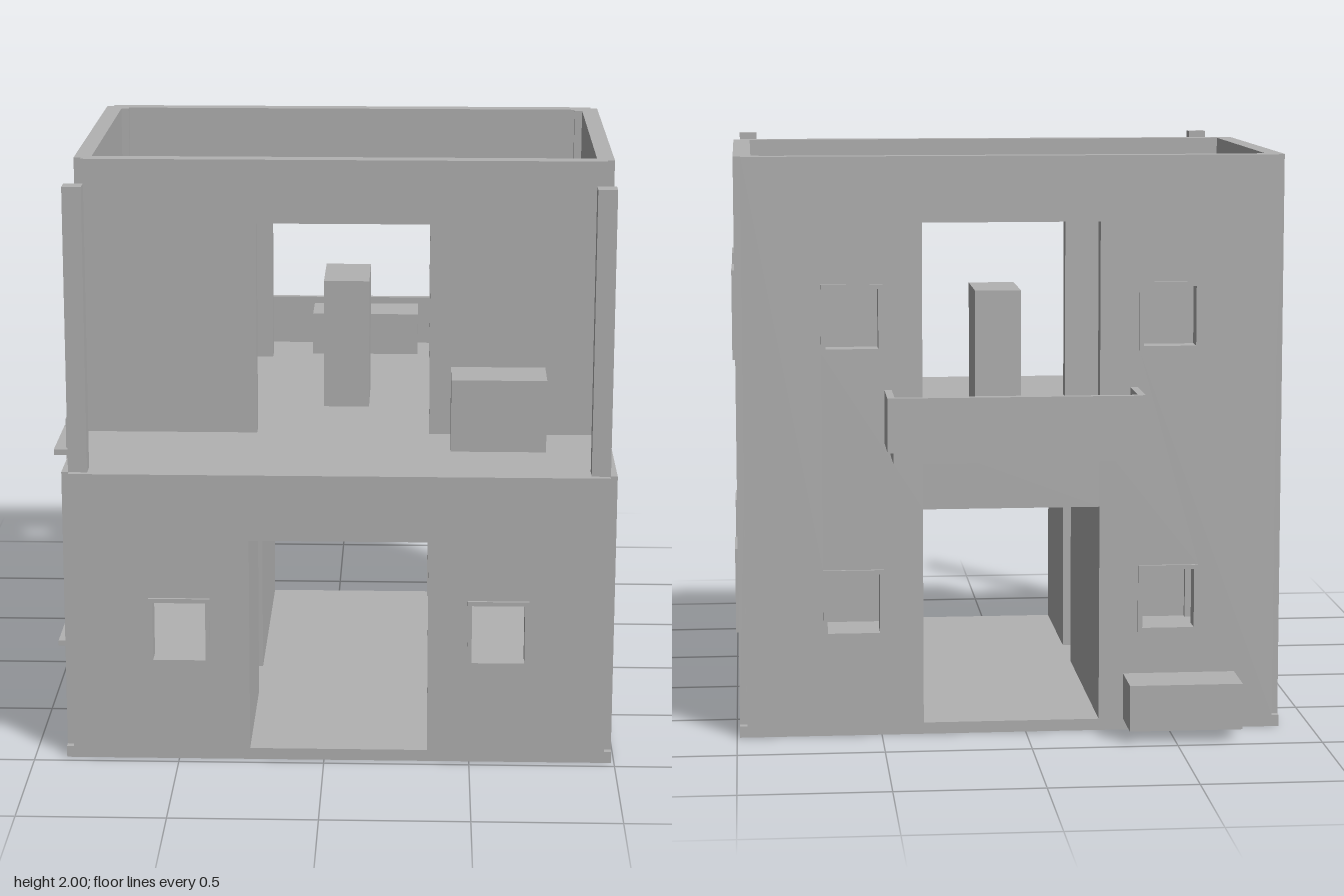
import * as THREE from 'three';

const plaster = new THREE.MeshStandardMaterial({ color: 0xb2b2b2 });
plaster.name = 'plaster grey';

const T = 0.06; // wall thickness
const R = 0.015; // window frame width

export function createModel() {
  const model = new THREE.Group();
  model.name = 'house';

  const add = (name, geometry) => {
    const mesh = new THREE.Mesh(geometry, plaster);
    mesh.name = name;
    model.add(mesh);
    return mesh;
  };

  // Box given by its lower and upper limits on each axis
  const box = (name, x0, x1, y0, y1, z0, z1) =>
    add(name, new THREE.BoxGeometry(x1 - x0, y1 - y0, z1 - z0))
      .position.set((x0 + x1) / 2, (y0 + y1) / 2, (z0 + z1) / 2);

  const points = (list) => list.map(([u, v]) => new THREE.Vector2(u, v));
  const rect = (u0, u1, v0, v1) => [[u0, v0], [u1, v0], [u1, v1], [u0, v1]];

  // Upright panel with holes; runs along x, or along z when side is true
  const panel = (name, outline, holes, depth, side, at) => {
    const shape = new THREE.Shape(points(outline));
    holes.forEach((h) => shape.holes.push(new THREE.Path(points(h))));
    const geo = new THREE.ExtrudeGeometry(shape, { depth, bevelEnabled: false });
    if (side) geo.rotateY(-Math.PI / 2).translate(at + depth, 0, 0);
    else geo.translate(0, 0, at);
    add(name, geo);
  };

  // Window as [centre, middle height, width, height]
  const opening = ([u, v, w, h], m = 0) =>
    rect(u - w / 2 - m, u + w / 2 + m, v - h / 2 - m, v + h / 2 + m);
  const frames = (list, side, at) => list.forEach((w) =>
    panel('windowFrame', opening(w, R), [opening(w)], T + 0.01, side, at));
  const holes = (list) => list.map((w) => opening(w, R));

  // Ground slab and upper floor
  box('groundSlab', -0.89, 0.99, 0, 0.04, -0.76, 0.97);
  box('upperFloor', -0.85, 0.95, 0.98, 1.02, -0.72, 0.93);

  const lowFront = [[-0.495, 0.465, 0.18, 0.205], [0.595, 0.465, 0.18, 0.205]];
  const highBack = lowFront.map(([u, , w, h]) => [u, 1.45, w, h]);
  const lowSide = [[0.61, 0.465, 0.2, 0.27], [-0.39, 0.465, 0.2, 0.27]];
  const highSide = [[0.17, 1.45, 0.2, 0.28], [-0.5, 1.45, 0.2, 0.28]];

  // Wall outline standing on the slab with a doorway cut from its foot
  const withDoor = (u0, u1, y0, y1, d0, d1, top) => [
    [u0, y0], [d0, y0], [d0, top], [d1, top], [d1, y0], [u1, y0], [u1, y1], [u0, y1],
  ];

  // Front and back walls
  panel('lowerFrontWall', withDoor(-0.865, 0.965, 0.04, 1.02, -0.255, 0.355, 0.79),
    holes(lowFront), T, false, 0.91);
  panel('upperFrontWall', withDoor(-0.865, 0.965, 1.02, 2, -0.255, 0.355, 1.775),
    [], T, false, 0.36);
  panel('backWall', withDoor(-0.865, 0.965, 0.04, 2, -0.255, 0.355, 0.79),
    [...holes(lowFront), ...holes(highBack), rect(-0.255, 0.355, 1.02, 1.775)], T, false, -0.76);
  frames(lowFront, false, 0.91);
  frames([...lowFront, ...highBack], false, -0.77);

  // Side walls, stepped down at the terrace
  const sideOutline = [[-0.735, 0.04], [0.945, 0.04], [0.945, 1.02], [0.395, 1.02], [0.395, 2], [-0.735, 2]];
  panel('leftWall', sideOutline, [...holes(lowSide), ...holes(highSide)], T, true, 0.93);
  // The right wall has a large opening that merges with both upper windows
  const wide = [
    [-0.48, 1.02], [0.14, 1.02], [0.14, 1.295], [0.285, 1.295], [0.285, 1.605], [0.14, 1.605],
    [0.14, 1.775], [-0.48, 1.775], [-0.48, 1.605], [-0.615, 1.605], [-0.615, 1.295], [-0.48, 1.295],
  ];
  panel('rightWall', sideOutline, [...holes(lowSide), wide], T, true, -0.89);
  frames([...lowSide, ...highSide], true, 0.93);
  frames([...lowSide, ...highSide], true, -0.9);

  // Inner partition with a doorway
  panel('partition', withDoor(-0.7, 0.91, 0.04, 0.98, 0.14, 0.41, 0.79), [], 0.055, true, -0.31);

  // Corner posts; the front pair rises free above the terrace
  for (const x of [-0.867, 0.902]) {
    for (const z of [-0.737, 0.885]) box('cornerPost', x, x + 0.065, 0.04, 2, z, z + 0.062);
  }

  // Balcony
  box('balconyFloor', -0.36, 0.465, 0.98, 1.02, -0.955, -0.76);
  box('balconyRail', -0.375, 0.48, 1.02, 1.205, -0.975, -0.95);
  for (const x of [-0.385, 0.46]) box('balconySide', x, x + 0.025, 1.02, 1.205, -0.965, -0.76);

  // Crates and chest
  box('balconyCrate', -0.1, 0.31, 1.02, 1.18, -0.95, -0.76);
  box('groundCrate', -0.73, -0.34, 0.04, 0.2, -0.95, -0.76);
  box('terraceCrate', 0.43, 0.76, 1.02, 1.275, 0.46, 0.65);
  box('cabinet', -0.03, 0.135, 1.02, 1.49, -0.25, 0.05);

  // Ladder with two fixing planks
  for (const z of [-0.05, 0.23]) box('ladderRail', -0.957, -0.93, 0.03, 1.02, z, z + 0.025);
  for (const y of [0.16, 0.89]) box('ladderPlank', -1, -0.89, y, y + 0.02, -0.065, 0.275);
  for (let i = 0; i < 9; i++) {
    const y = 0.1 + i * 0.1;
    box('ladderRung', -0.955, -0.932, y, y + 0.02, -0.03, 0.235);
  }

  // Centre the width and depth exactly
  const bounds = new THREE.Box3().setFromObject(model);
  const c = bounds.getCenter(new THREE.Vector3());
  model.children.forEach((m) => { m.position.x -= c.x; m.position.z -= c.z; });
  return model;
}
